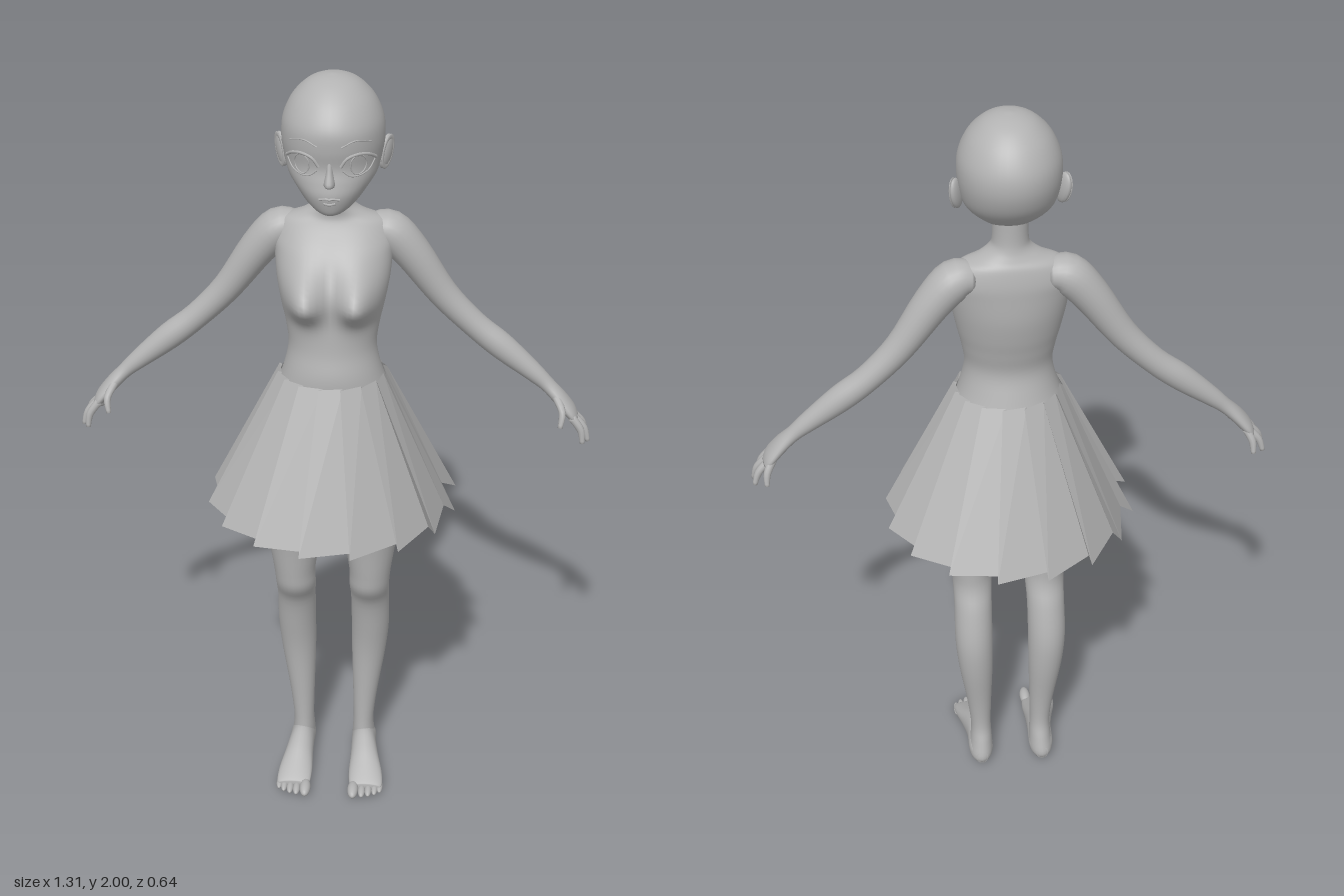
import * as THREE from 'three';

const grey = new THREE.MeshStandardMaterial({ color: 0xb3b3b3, side: THREE.DoubleSide });
grey.name = 'plain grey';

const V = (x, y, z) => new THREE.Vector3(x, y, z);
const DOWN = V(0, -1, 0), FORWARD = V(0, 0, 1);
const SIDE_X = V(1, 0, 0);

// Smooth sampling of a list of sections [x, y, z, ra, rbFront, rbBack]
function sample(sections, steps) {
  const out = [], last = sections.length - 1;
  const full = sections.map(s => (s.length < 6 ? [...s, s[4]] : s));
  for (let i = 0; i < last; i++) {
    const [p0, p1, p2, p3] = [Math.max(i - 1, 0), i, i + 1, Math.min(i + 2, last)].map(k => full[k]);
    for (let j = 0; j < steps; j++) {
      const t = j / steps;
      out.push(p1.map((b, k) => {
        const a = p0[k], c = p2[k], d = p3[k];
        const v = 0.5 * (2 * b + (c - a) * t + (2 * a - 5 * b + 4 * c - d) * t * t + (3 * b - a - 3 * c + d) * t ** 3);
        return k > 2 ? Math.max(v, 0) : v;
      }));
    }
  }
  out.push(full[last]);
  return out;
}

// Skin elliptical rings into a closed smooth body; side = -1 mirrors it across x
function loft(name, sections, { n = 24, steps = 4, axis = null, ref = SIDE_X, side = 1, warp = null } = {}) {
  const mid = sample(sections, steps).map(r => [r[0] * side, ...r.slice(1)]);
  const cap = r => [r[0], r[1], r[2], 0, 0, 0];
  const rings = [cap(mid[0]), ...mid, cap(mid[mid.length - 1])];
  const pos = [], idx = [];
  rings.forEach((r, i) => {
    const k = Math.min(Math.max(i - 1, 0), mid.length - 1);
    const a = mid[Math.max(k - 1, 0)], b = mid[Math.min(k + 1, mid.length - 1)];
    const t = axis ? axis : V(b[0] - a[0], b[1] - a[1], b[2] - a[2]).normalize();
    const u = ref.clone().addScaledVector(t, -ref.dot(t)).normalize();
    const v = t.clone().cross(u);
    for (let j = 0; j < n; j++) {
      const c = Math.cos(j / n * Math.PI * 2), s = Math.sin(j / n * Math.PI * 2);
      const p = V(r[0], r[1], r[2]).addScaledVector(u, c * r[3]).addScaledVector(v, s * (s > 0 ? r[4] : r[5]));
      if (warp) warp(p, s);
      pos.push(p.x, p.y, p.z);
      if (i < rings.length - 1) {
        const A = i * n + j, B = i * n + (j + 1) % n;
        idx.push(A, B, A + n, B, B + n, A + n);
      }
    }
  });
  const g = new THREE.BufferGeometry();
  g.setAttribute('position', new THREE.Float32BufferAttribute(pos, 3));
  g.setIndex(idx);
  g.computeVertexNormals();
  return named(name, g);
}

function named(name, geometry) {
  const m = new THREE.Mesh(geometry, grey);
  m.name = name;
  return m;
}

function ellipsoid(name, x, y, z, rx, ry, rz) {
  const m = named(name, new THREE.SphereGeometry(1, 16, 12));
  m.position.set(x, y, z);
  m.scale.set(rx, ry, rz);
  return m;
}

// Head, from crown to chin
const HEAD = [
  [0, 2.0, -0.012, 0.006, 0.006, 0.006], [0, 1.994, -0.012, 0.037, 0.04, 0.042],
  [0, 1.978, -0.012, 0.068, 0.075, 0.078], [0, 1.945, -0.012, 0.099, 0.112, 0.112],
  [0, 1.9, -0.012, 0.119, 0.139, 0.135], [0, 1.855, -0.012, 0.123, 0.14, 0.138],
  [0, 1.81, -0.01, 0.117, 0.13, 0.126], [0, 1.775, 0, 0.107, 0.126, 0.112],
  [0, 1.745, 0.02, 0.086, 0.11, 0.098], [0, 1.715, 0.045, 0.06, 0.078, 0.075],
  [0, 1.697, 0.068, 0.034, 0.046, 0.05], [0, 1.689, 0.078, 0.012, 0.02, 0.02]];
const headRings = sample(HEAD, 5);

// Depth of the face at a given x and y
function faceZ(x, y) {
  const i = Math.max(1, headRings.findIndex(r => r[1] <= y));
  const a = headRings[i - 1], b = headRings[i], t = (a[1] - y) / (a[1] - b[1]);
  const [z, rx, rf] = [2, 3, 4].map(k => a[k] + (b[k] - a[k]) * t);
  return z + rf * Math.sqrt(Math.max(0, 1 - (x / rx) ** 2));
}

// Thin raised line following the face
function faceLine(name, points, r, closed = false) {
  const pts = points.map(([x, y]) => V(x, y, faceZ(x, y)));
  return named(name, new THREE.TubeGeometry(new THREE.CatmullRomCurve3(pts, closed), 24, r, 6, closed));
}
const oval = (cx, cy, rx, ry) => Array.from({ length: 12 }, (_, i) =>
  [cx + rx * Math.cos(i * Math.PI / 6), cy + ry * Math.sin(i * Math.PI / 6)]);

function buildHead() {
  const head = new THREE.Group();
  head.name = 'head';
  head.add(loft('skull', HEAD, { n: 40, steps: 5, axis: DOWN }));
  head.add(loft('nose', [[0, 1.835, 0.108, 0.007, 0.012], [0, 1.805, 0.11, 0.009, 0.022],
    [0, 1.779, 0.113, 0.014, 0.037], [0, 1.768, 0.11, 0.012, 0.02]], { n: 14, axis: DOWN }));
  head.add(faceLine('upperLip', [[-0.024, 1.74], [-0.006, 1.743], [0, 1.741], [0.006, 1.743], [0.024, 1.74]], 0.003));
  head.add(faceLine('lowerLip', [[-0.014, 1.731], [0, 1.728], [0.014, 1.731]], 0.003));
  for (const s of [1, -1]) {
    const X = pts => pts.map(([x, y]) => [x * s, y]);
    head.add(faceLine('upperLash', X([[0.026, 1.818], [0.04, 1.838], [0.064, 1.846], [0.088, 1.84], [0.104, 1.824]]), 0.004));
    head.add(faceLine('lowerLid', X([[0.03, 1.808], [0.048, 1.794], [0.07, 1.792], [0.09, 1.8], [0.102, 1.82]]), 0.002));
    head.add(faceLine('iris', X(oval(0.066, 1.819, 0.018, 0.024)), 0.0018, true));
    head.add(faceLine('brow', X([[0.028, 1.868], [0.058, 1.88], [0.094, 1.87]]), 0.002));
    const ear = ellipsoid('ear', 0.124 * s, 1.808, -0.024, 0.011, 0.042, 0.026);
    ear.rotation.set(-0.35, s * -0.45, s * -0.2);
    const rim = named('earRim', new THREE.TorusGeometry(0.85, 0.16, 8, 20));
    rim.rotation.y = Math.PI / 2;
    rim.position.x = s * 0.55;
    ear.add(rim);
    head.add(ear);
  }
  return head;
}

// Neck, chest, waist and hips in one smooth form
function buildTorso() {
  const sections = [
    [0, 1.76, -0.03, 0.044, 0.045, 0.045], [0, 1.7, -0.03, 0.043, 0.046, 0.045],
    [0, 1.672, -0.032, 0.05, 0.046, 0.047], [0, 1.65, -0.036, 0.082, 0.046, 0.052],
    [0, 1.63, -0.04, 0.13, 0.056, 0.058], [0, 1.59, -0.04, 0.148, 0.08, 0.066],
    [0, 1.55, -0.03, 0.145, 0.095, 0.077], [0, 1.49, -0.01, 0.139, 0.1, 0.095],
    [0, 1.43, 0, 0.128, 0.1, 0.095], [0, 1.38, 0.005, 0.117, 0.1, 0.088],
    [0, 1.32, 0.012, 0.11, 0.098, 0.085], [0, 1.25, 0.015, 0.125, 0.107, 0.108],
    [0, 1.15, 0, 0.16, 0.115, 0.125], [0, 1.05, 0, 0.178, 0.112, 0.135],
    [0, 0.96, -0.005, 0.15, 0.09, 0.11], [0, 0.91, -0.005, 0.05, 0.05, 0.06]];
  const warp = (p, s) => {
    if (s <= 0) return;
    const dx = (Math.abs(p.x) - 0.066) / 0.047, dy = (p.y - 1.465) / (p.y > 1.465 ? 0.07 : 0.05);
    p.z += 0.076 * Math.min(1, s * 2) * Math.exp(-dx * dx - dy * dy);
  };
  return loft('torso', sections, { n: 56, steps: 5, axis: DOWN, warp });
}

function buildArm(s) {
  const arm = new THREE.Group();
  arm.name = s > 0 ? 'leftArm' : 'rightArm';
  const opt = { side: s, ref: FORWARD };
  // Sections run from shoulder to knuckles; width along z first, then thickness
  arm.add(loft('armAndPalm', [
    [0.09, 1.6, -0.052, 0.04, 0.036], [0.135, 1.595, -0.054, 0.053, 0.049],
    [0.19, 1.537, -0.058, 0.05, 0.046], [0.27, 1.425, -0.064, 0.039, 0.037],
    [0.35, 1.342, -0.066, 0.035, 0.033], [0.42, 1.285, -0.063, 0.034, 0.034],
    [0.5, 1.22, -0.058, 0.027, 0.025], [0.54, 1.185, -0.055, 0.024, 0.019],
    [0.572, 1.153, -0.05, 0.033, 0.018], [0.6, 1.12, -0.047, 0.041, 0.016],
    [0.614, 1.1, -0.047, 0.037, 0.011]], opt));
  const fingers = {
    indexFinger: [[0.606, 1.11, -0.018], [0.63, 1.078, -0.012], [0.636, 1.042, -0.006]],
    middleFinger: [[0.608, 1.108, -0.038], [0.639, 1.075, -0.034], [0.651, 1.038, -0.03]],
    ringFinger: [[0.606, 1.108, -0.057], [0.635, 1.078, -0.063], [0.647, 1.045, -0.069]],
    littleFinger: [[0.598, 1.118, -0.074], [0.613, 1.09, -0.088], [0.616, 1.058, -0.099]],
    thumb: [[0.562, 1.163, -0.034], [0.58, 1.132, -0.002], [0.576, 1.095, 0.014]]
  };
  for (const [name, [a, b, c]] of Object.entries(fingers)) {
    arm.add(loft(name, [[...a, 0.0105, 0.0105], [...b, 0.0095, 0.0095], [...c, 0.006, 0.006]], { ...opt, n: 10 }));
  }
  return arm;
}

function buildLeg(s) {
  const leg = new THREE.Group();
  leg.name = s > 0 ? 'leftLeg' : 'rightLeg';
  leg.add(loft('leg', [
    [0.085, 1.08, 0, 0.08, 0.1], [0.098, 0.95, 0.02, 0.088, 0.093], [0.101, 0.87, 0.03, 0.083, 0.085],
    [0.1, 0.75, 0.027, 0.068, 0.071], [0.1, 0.66, 0.024, 0.055, 0.064], [0.098, 0.61, 0.017, 0.053, 0.062],
    [0.099, 0.55, -0.012, 0.051, 0.056], [0.1, 0.45, -0.035, 0.051, 0.056], [0.096, 0.35, -0.042, 0.046, 0.048],
    [0.088, 0.22, -0.036, 0.034, 0.037], [0.084, 0.13, -0.034, 0.028, 0.035], [0.084, 0.08, -0.04, 0.03, 0.044],
    [0.086, 0.035, -0.048, 0.033, 0.05], [0.086, 0.012, -0.048, 0.024, 0.04]], { side: s, axis: DOWN }));
  leg.add(loft('foot', [
    [0.086, 0.035, -0.092, 0.016, 0.02], [0.086, 0.043, -0.06, 0.033, 0.038], [0.087, 0.053, -0.005, 0.034, 0.05],
    [0.092, 0.044, 0.05, 0.039, 0.041], [0.097, 0.03, 0.1, 0.046, 0.027], [0.1, 0.02, 0.138, 0.046, 0.015],
    [0.101, 0.016, 0.152, 0.04, 0.01]], { side: s, axis: FORWARD }));
  for (let i = 0; i < 5; i++) {
    const r = i ? 0.0105 - i * 0.0005 : 0.015;
    leg.add(ellipsoid('toe', s * [0.066, 0.09, 0.108, 0.125, 0.139][i], r + 0.002, 0.165 - i * i * 0.0016, r, r, i ? 0.026 : 0.034));
  }
  return leg;
}

// Flat overlapping pleats, each swinging outwards to a sharp corner
function buildSkirt() {
  const pos = [], count = 16, step = Math.PI * 2 / count, overlap = 0.063;
  const edge = (a, outer) => [
    V(Math.sin(a) * (outer ? 0.138 : 0.129), 1.245, 0.015 - Math.cos(a) * (outer ? 0.123 : 0.115)),
    V(Math.sin(a) * (outer ? 0.325 : 0.292), 0.87, -Math.cos(a) * (outer ? 0.325 : 0.292))];
  const quad = ([a, b], [c, d]) => [a, c, b, b, c, d].forEach(p => pos.push(p.x, p.y, p.z));
  for (let k = 0; k < count; k++) {
    const corner = (k + 0.5) * step;
    quad(edge(corner, true), edge(corner - step - overlap, false));
    quad(edge(corner - overlap, false), edge(corner, true));
  }
  const g = new THREE.BufferGeometry();
  g.setAttribute('position', new THREE.Float32BufferAttribute(pos, 3));
  g.computeVertexNormals();
  return named('pleatedSkirt', g);
}

export function createModel() {
  const model = new THREE.Group();
  model.name = 'figure';
  model.add(buildHead(), buildTorso(), buildSkirt());
  for (const s of [1, -1]) model.add(buildArm(s), buildLeg(s));
  return model;
}
